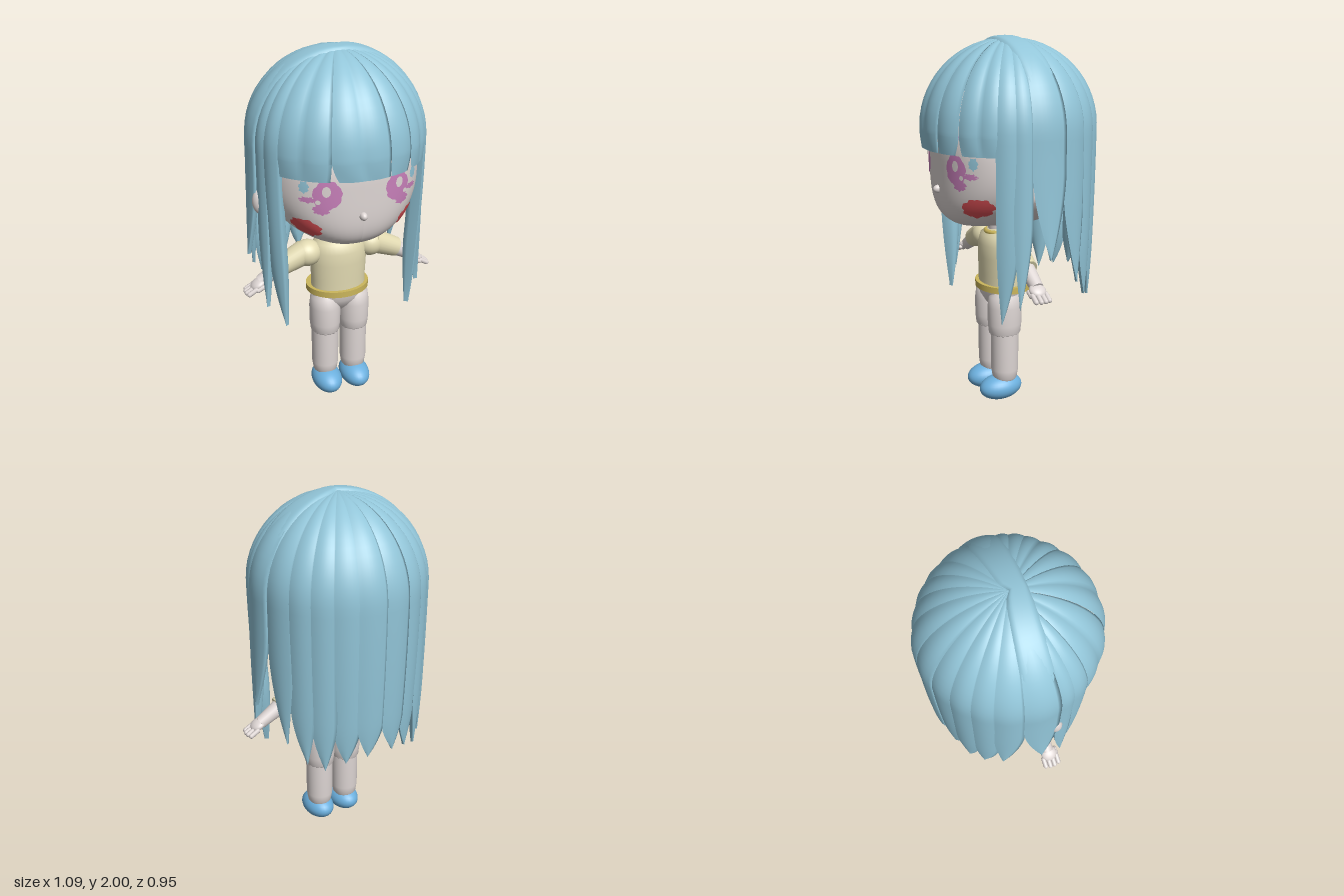
import * as THREE from 'three';

const mat = (name, color, side = THREE.FrontSide) => {
  const m = new THREE.MeshStandardMaterial({ color, side });
  m.name = name;
  return m;
};
const hairBlue = mat('hair blue', 0x92c5d8, THREE.DoubleSide);
const skin = mat('pale skin', 0xded6d4);
const cream = mat('cream cloth', 0xe2dab2);
const gold = mat('gold trim', 0xcbb65c);
const shoeBlue = mat('shoe blue', 0x6cb0de);
const eyePink = mat('eye pink', 0xc880ba);
const cheekRed = mat('cheek red', 0xd94f54);

const V = (x, y, z) => new THREE.Vector3(x, y, z);
const mix = THREE.MathUtils.lerp;
const rad = THREE.MathUtils.degToRad;

// Grid surface from a function of row and column fractions
function sheet(rows, cols, fn) {
  const pos = [], idx = [];
  for (let i = 0; i <= rows; i++)
    for (let j = 0; j <= cols; j++) pos.push(...fn(i / rows, j / cols));
  for (let i = 0; i < rows; i++)
    for (let j = 0; j < cols; j++) {
      const a = i * (cols + 1) + j, b = a + cols + 1;
      idx.push(a, b, a + 1, a + 1, b, b + 1);
    }
  const g = new THREE.BufferGeometry();
  g.setAttribute('position', new THREE.Float32BufferAttribute(pos, 3));
  g.setIndex(idx);
  g.computeVertexNormals();
  return g;
}

// Head: a rounded-square ellipsoid with a full, forward chin
const HEAD = { y: 1.38, z: 0.015, rx: 0.41, ry: 0.37, rz: 0.388 };
function headPoint(az, y, grow = 0) {
  const t = Math.min(1, Math.abs(y - HEAD.y) / HEAD.ry);
  const s = Math.sin(az), c = Math.cos(az);
  const level = m => (1 - t ** m) ** (1 / m);
  const round = (Math.abs(s) ** 2.5 + Math.abs(c) ** 2.5) ** -0.4;
  const kz = level(c > 0 && y < HEAD.y ? 5 : 2.3);
  return [((HEAD.rx) * level(2.3) * round + grow) * s, y, HEAD.z + (HEAD.rz * kz * round + grow) * c];
}

// Painted patch lying on the face, with a ragged outline
function patch(az, y, ra, ry, jag, lift) {
  return sheet(8, 60, (v, u) => {
    const t = u * Math.PI * 2;
    const r = v * (1 + jag * (Math.sin(7 * t) + 0.8 * Math.sin(12 * t + 1)));
    return headPoint(az + ra * r * Math.cos(t), y + ry * r * Math.sin(t), lift);
  });
}

// Hair strand with a lens-shaped section: runs from the crown over the dome,
// then hangs and narrows from [aL, aR] to [eL, eR]
function strand(aL, aR, eL, eR, yTip, ySplit, rTip, thick, lift = 0, lobes = 1) {
  const Y = 1.53, R = 0.464, s0 = (Y - ySplit) / (Y - yTip);
  return sheet(34, 16 * lobes, (v, loop) => {
    const outer = loop <= 0.5, u = outer ? 2 * loop : 2 - 2 * loop;
    const dome = Math.min(1, v / 0.45), s = Math.max(0, (v - 0.45) / 0.55);
    const k = Math.max(0, (s - s0) / (1 - s0)) ** 1.6;
    const a = rad(mix(mix(aL, eL, k), mix(aR, eR, k), u));
    const w = Math.sin(dome * Math.PI / 2);
    const ridge = 0.01 * Math.abs(Math.sin(u * lobes * Math.PI));
    const depth = thick * w * Math.sqrt(4 * u * (1 - u));
    const bump = lift + (outer ? ridge : -depth) * (1 - 0.7 * k);
    const r = s > 0 ? mix(R, rTip, s * s) + bump : (R + bump) * w;
    const y = s > 0 ? mix(Y, yTip, s) : Y + (0.458 + bump * w) * Math.cos(dome * Math.PI / 2);
    return [r * Math.sin(a), y, r * Math.cos(a)];
  });
}

export function createModel() {
  const model = new THREE.Group();
  const add = (name, geo, material, x = 0, y = 0, z = 0) => {
    const m = new THREE.Mesh(geo, material);
    m.name = name;
    m.position.set(x, y, z);
    model.add(m);
    return m;
  };
  const ball = (name, material, x, y, z, rx, ry, rz) => {
    const m = add(name, new THREE.SphereGeometry(1, 32, 20), material, x, y, z);
    m.scale.set(rx, ry, rz);
    return m;
  };
  const lathe = (name, material, pts, x, y, z, sz = 1) => {
    const m = add(name, new THREE.LatheGeometry(pts.map(p => new THREE.Vector2(...p)), 36), material, x, y, z);
    m.scale.z = sz;
    return m;
  };
  const limb = (name, material, p, q, r0, r1) => {
    const d = q.clone().sub(p);
    const m = add(name, new THREE.CylinderGeometry(r1, r0, d.length(), 24), material);
    m.position.copy(p).addScaledVector(d, 0.5);
    m.quaternion.setFromUnitVectors(V(0, 1, 0), d.normalize());
    return m;
  };

  // Head
  add('head', sheet(48, 72, (v, u) =>
    headPoint(u * Math.PI * 2, HEAD.y + HEAD.ry * Math.cos(v * Math.PI))), skin);
  ball('nose', skin, -0.005, 1.22, 0.402, 0.02, 0.022, 0.028);
  lathe('neck', skin, [[0.075, 0.9], [0.07, 1.06]], 0, 0, 0.04);

  for (const s of [-1, 1]) {
    const side = s > 0 ? 'left' : 'right';
    // Face paint
    add(side + 'Eye', patch(s * 0.45, 1.35, 0.17, 0.075, 0.03, 0.004), eyePink);
    add(side + 'EyeLower', patch(s * 0.53, 1.275, 0.1, 0.028, 0.1, 0.005), eyePink);
    add(side + 'Lash', patch(s * 0.68, 1.325, 0.1, 0.015, 0.15, 0.005), eyePink);
    add(side + 'Brow', patch(s * 0.42, 1.51, 0.08, 0.015, 0.1, 0.004), eyePink);
    add(side + 'EyeShine', patch(s * 0.46, 1.37, 0.05, 0.028, 0, 0.008), skin);
    add(side + 'EyeGlint', patch(s * 0.56, 1.315, 0.03, 0.012, 0, 0.008), skin);
    add(side + 'EyeMark', patch(s * 0.72, 1.39, 0.06, 0.03, 0.1, 0.004), hairBlue);
    add(side + 'Cheek', patch(s * 0.81, 1.16, 0.22, 0.052, 0.06, 0.005), cheekRed);
    ball(side + 'Ear', skin, s > 0 ? 0.41 : -0.448, 1.24, 0.08, 0.035, 0.065, 0.035);

    // Arm: puff, sleeve, forearm, hand and fingers
    const z = 0.055;
    ball(side + 'SleevePuff', cream, s * 0.185, 0.888, z, 0.082, 0.074, 0.075);
    limb(side + 'Sleeve', cream, V(s * 0.2, 0.895, z), V(s * 0.345, 0.83, z), 0.069, 0.055);
    limb(side + 'Forearm', skin, V(s * 0.32, 0.838, z), V(s * 0.455, 0.763, z), 0.046, 0.034);
    const palm = ball(side + 'Palm', skin, s * 0.468, 0.755, z + 0.005, 0.045, 0.024, 0.045);
    palm.rotation.z = -s * 0.5;
    for (let i = 0; i < 4; i++) {
      const f = add(side + 'Finger', new THREE.CapsuleGeometry(0.013, 0.045, 4, 10), skin,
        s * (0.517 - 0.007 * Math.abs(i - 1.5)), 0.727, 0.022 + i * 0.025);
      f.rotation.z = s * 1.05 + Math.PI;
    }
    const thumb = add(side + 'Thumb', new THREE.CapsuleGeometry(0.013, 0.03, 4, 10), skin, s * 0.465, 0.74, 0.1);
    thumb.rotation.z = s * 1.1 + Math.PI;

    // Leg with a scalloped cuff at the knee
    const x = s * 0.086, zl = 0.062;
    lathe(side + 'Thigh', skin, [[0.07, 0.39], [0.081, 0.4], [0.086, 0.45], [0.087, 0.55], [0.08, 0.61], [0.05, 0.65]],
      x, 0, zl, 1.1);
    for (let i = 0; i < 18; i++) {
      const t = i / 18 * Math.PI * 2;
      ball(side + 'CuffScallop', skin, x + 0.067 * Math.sin(t), 0.4, zl + 0.074 * Math.cos(t), 0.014, 0.012, 0.014);
    }
    lathe(side + 'Shin', skin, [[0, 0.1], [0.05, 0.105], [0.068, 0.13], [0.076, 0.18], [0.077, 0.4]], x, 0, zl);
    const shoe = ball(side + 'Shoe', shoeBlue, x, 0.072, 0.087, 0.084, 0.07, 0.124);
    shoe.rotation.x = 0.05;
  }

  // Body
  lathe('torso', cream, [[0.155, 0.645], [0.155, 0.72], [0.16, 0.82], [0.158, 0.89], [0.14, 0.94], [0.1, 0.965], [0.075, 0.985]],
    0, 0, 0.045, 0.74);
  lathe('pelvis', skin, [[0, 0.5], [0.05, 0.51], [0.11, 0.55], [0.155, 0.6], [0.16, 0.65]], 0, 0, 0.055, 0.64);
  const belt = add('belt', new THREE.CylinderGeometry(0.178, 0.178, 0.034, 48), gold, 0, 0.656, 0.03);
  belt.scale.z = 0.85;
  const collar = add('collar', new THREE.TorusGeometry(0.08, 0.013, 10, 36), gold, 0, 0.963, 0.045);
  collar.rotation.x = Math.PI / 2 + 0.08;

  // Hair strands: [aL, aR, eL, eR, yTip, ySplit, rTip, thick, lift, lobes], degrees round from the front
  const fringe = [
    [-61, -23, -61, -24, 1.43, 1.53, 0.462, 0.025, -0.004, 2],
    [-23, 15, -18.5, 15, 1.43, 1.53, 0.462, 0.025, -0.002, 2],
    [15, 33, 15.5, 30, 1.43, 1.53, 0.462, 0.025, -0.002, 1],
    [33, 61, 35, 61, 1.43, 1.53, 0.462, 0.025, -0.004, 2],
  ];
  fringe.forEach(p => add('fringe', strand(...p), hairBlue));
  const locks = [
    [57, 71, 60, 60, 0.55, 0.95, 0.415, 0.07],
    [68, 80, 72, 72, 0.65, 1.1, 0.465, 0.06],
    [79, 102, 90, 90, 0.91, 1.35, 0.49, 0.05, 0.008],
    [101, 121, 115, 115, 0.75, 1.25, 0.465, 0.04],
    [118, 135, 129, 129, 0.65, 0.95, 0.45, 0.04],
    [132, 149, 141, 141, 0.62, 0.9, 0.445, 0.04],
    [146, 165, 155, 155, 0.66, 0.88, 0.435, 0.04],
    [162, 181, 170, 170, 0.69, 0.88, 0.435, 0.04, 0.006],
  ];
  for (const p of locks) {
    add('leftHairLock', strand(...p), hairBlue);
    const [a, b, c, d, ...rest] = p;
    add('rightHairLock', strand(-b, -a, -d, -c, ...rest), hairBlue);
  }

  // Raised band of hair across the top of the head, its back edge meeting the crown
  add('hairBand', sheet(40, 14, (v, u) => {
    const t = v * Math.PI, z = mix(-0.1 * Math.sqrt(Math.abs(Math.cos(t))), 0.088, u);
    const edge = Math.min(1, 6 * Math.min(u, 1 - u));
    const r = Math.sqrt(0.462 ** 2 - z * z) + 0.014 * Math.sqrt(edge);
    return [-r * Math.cos(t), 1.525 + r * Math.sin(t), z];
  }), hairBlue);

  return model;
}
